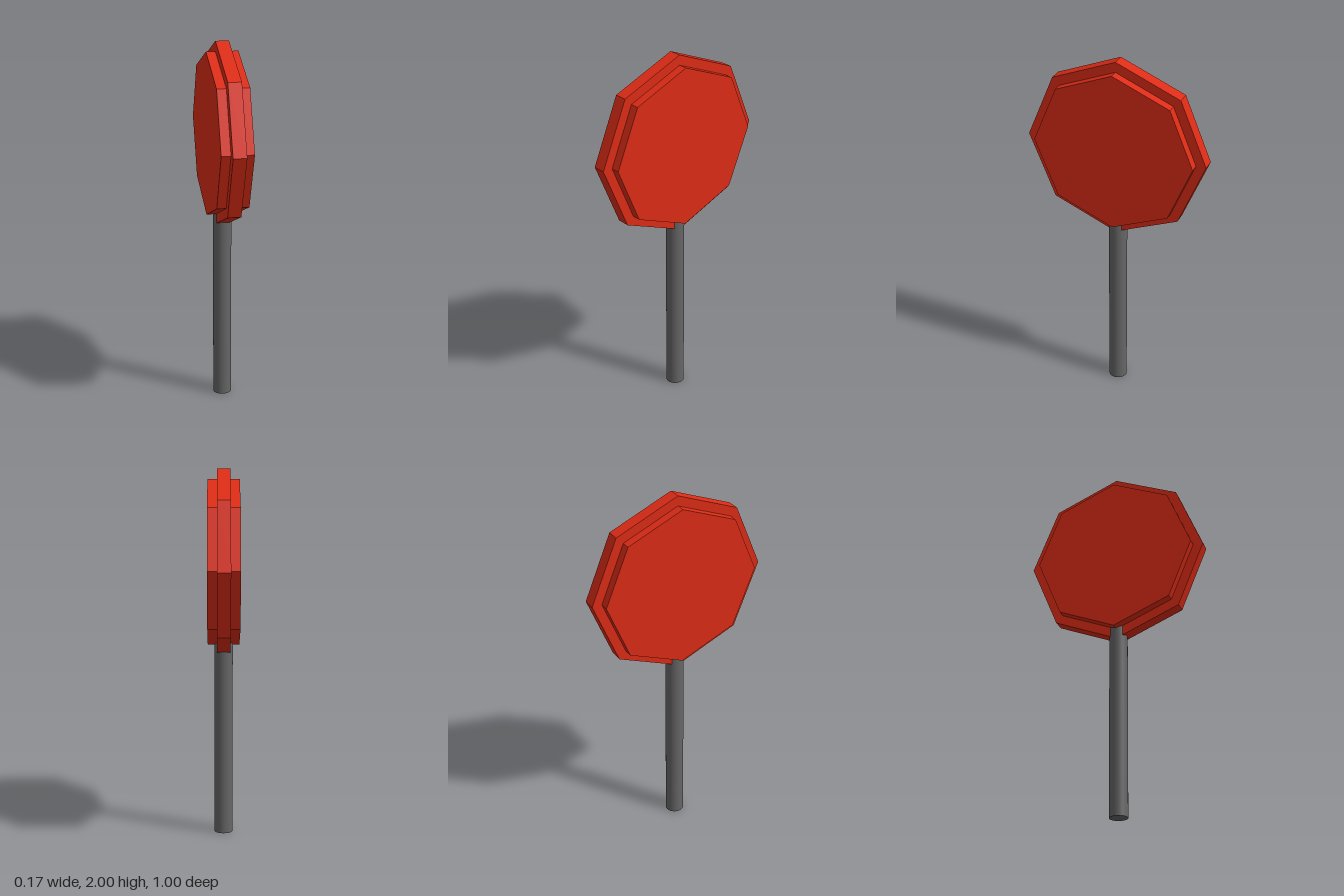
import * as THREE from 'three';

export function createModel() {
  const model = new THREE.Group();
  const red = new THREE.MeshStandardMaterial({ color: 0xdd2c16, flatShading: true });
  const grey = new THREE.MeshStandardMaterial({ color: 0x666666 });

  // Octagonal plate facing sideways, with a corner at the top
  function addOctagon(name, radius, thickness, x) {
    const plate = new THREE.Mesh(new THREE.CylinderGeometry(radius, radius, thickness, 8), red);
    plate.name = name;
    plate.rotation.z = Math.PI / 2;
    plate.position.set(x, 1.5, 0);
    model.add(plate);
  }

  // Wide middle plate with a smaller raised panel on each side
  addOctagon('signRim', 0.5, 0.072, 0);
  addOctagon('leftPanel', 0.445, 0.05, 0.061);
  addOctagon('rightPanel', 0.445, 0.05, -0.061);

  // Round pole, its top hidden inside the sign
  const pole = new THREE.Mesh(new THREE.CylinderGeometry(0.05, 0.05, 1.1, 32), grey);
  pole.name = 'pole';
  pole.position.y = 0.55;
  model.add(pole);

  return model;
}
